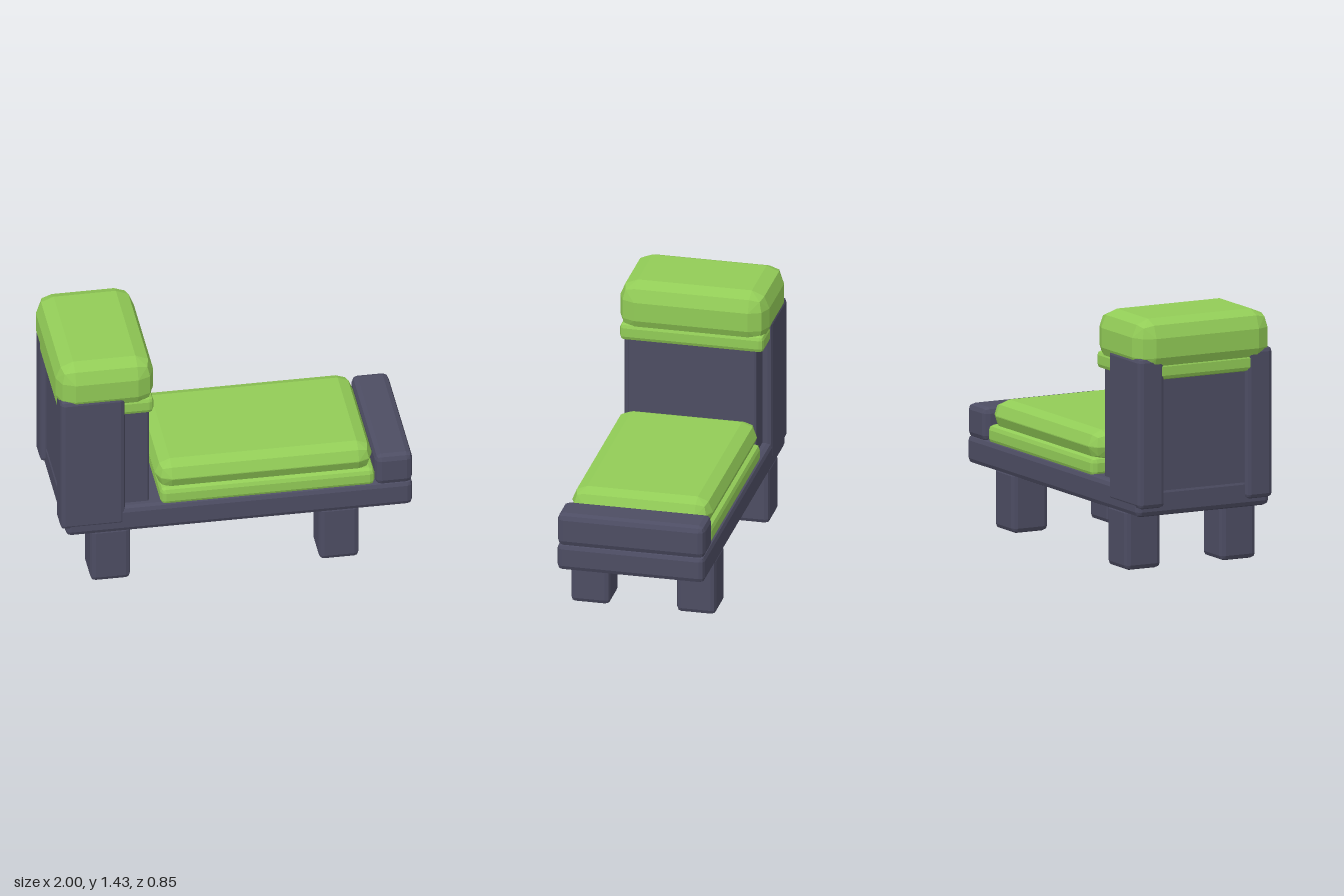
import * as THREE from 'three';
import { ConvexGeometry } from 'three/addons/geometries/ConvexGeometry.js';

// Box between two corners, every edge rounded by a two-step faceted bevel
function bevelBox([x0, y0, z0], [x1, y1, z1], r) {
  const half = new THREE.Vector3(x1 - x0, y1 - y0, z1 - z0).multiplyScalar(0.5);
  const centre = new THREE.Vector3(x0 + x1, y0 + y1, z0 + z1).multiplyScalar(0.5);
  const points = [];
  for (const sx of [-1, 1]) for (const sy of [-1, 1]) for (const sz of [-1, 1]) {
    const sign = new THREE.Vector3(sx, sy, sz);
    const core = half.clone().subScalar(r);
    // the seven directions of one octant: faces, edges and corner
    for (let i = 1; i < 8; i++) {
      const dir = new THREE.Vector3(i & 1, (i >> 1) & 1, (i >> 2) & 1).normalize();
      points.push(dir.multiplyScalar(r).add(core).multiply(sign));
    }
  }
  return new ConvexGeometry(points).translate(centre.x, centre.y, centre.z);
}

export function createModel() {
  const group = new THREE.Group();
  const frame = new THREE.MeshStandardMaterial({ name: 'slateFrame', color: 0x4d4d63, flatShading: true });
  const fabric = new THREE.MeshStandardMaterial({ name: 'greenFabric', color: 0x92cc57, flatShading: true });

  const add = (name, material, min, max, r) => {
    const mesh = new THREE.Mesh(bevelBox(min, max, r), material);
    mesh.name = name;
    group.add(mesh);
  };

  // Frame
  add('base', frame, [-0.955, 0.32, -0.42], [0.995, 0.48, 0.42], 0.03);
  add('footBolster', frame, [0.785, 0.465, -0.42], [0.995, 0.66, 0.42], 0.035);
  add('backrest', frame, [-0.95, 0.42, -0.367], [-0.48, 1.15, 0.367], 0.012);

  // Side panels and legs, mirrored front to back
  for (const [side, s] of [['front', 1], ['back', -1]]) {
    const zRange = (a, b) => (s > 0 ? [a, b] : [-b, -a]);
    const [p0, p1] = zRange(0.26, 0.423);
    add(side + 'SidePanel', frame, [-0.985, 0.37, p0], [-0.622, 1.22, p1], 0.025);
    const [l0, l1] = zRange(0.19, 0.413);
    for (const [end, x] of [['Right', -0.815], ['Left', 0.47]]) {
      add(side + end + 'Leg', frame, [x, 0, l0], [x + 0.225, 0.35, l1], 0.028);
    }
  }

  // Cushions, each resting on a thinner pad
  add('seatPad', fabric, [-0.42, 0.46, -0.408], [0.784, 0.57, 0.408], 0.03);
  add('seatCushion', fabric, [-0.44, 0.54, -0.4], [0.78, 0.715, 0.4], 0.085);
  add('headPad', fabric, [-0.983, 1.09, -0.41], [-0.46, 1.19, 0.41], 0.025);
  add('headCushion', fabric, [-1, 1.12, -0.425], [-0.45, 1.43, 0.425], 0.1);

  return group;
}
